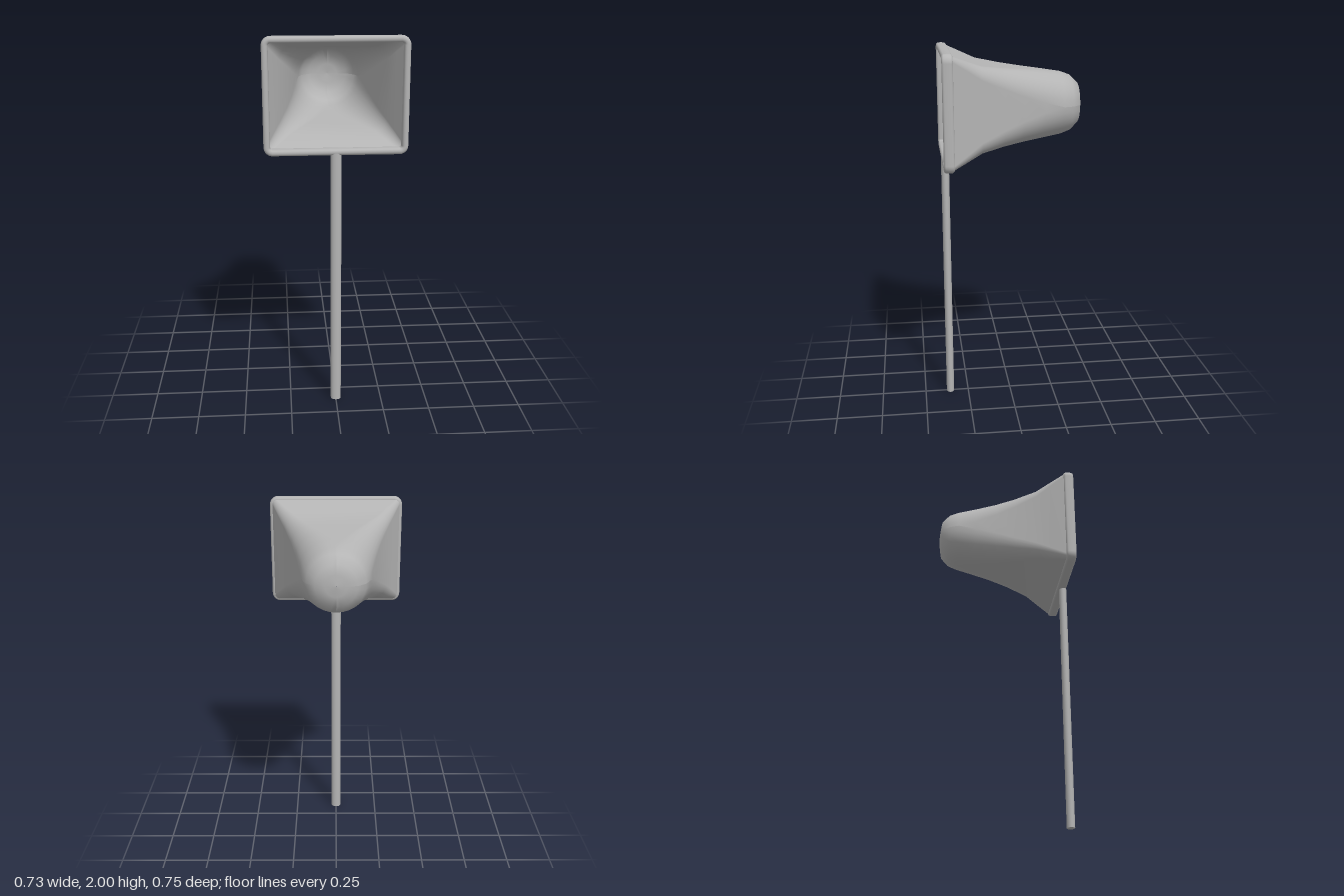
import * as THREE from 'three';

const CENTER_Y = 1.7;
const CORNER_STEPS = 8;

// Rounded rectangle outline at depth z, counter-clockwise seen from the front
function ring(halfX, halfY, radius, z) {
  const points = [];
  for (let corner = 0; corner < 4; corner++) {
    const sx = corner === 0 || corner === 3 ? 1 : -1;
    const sy = corner < 2 ? 1 : -1;
    for (let i = 0; i <= CORNER_STEPS; i++) {
      const a = (corner + i / CORNER_STEPS) * Math.PI / 2;
      points.push([
        sx * (halfX - radius) + radius * Math.cos(a),
        CENTER_Y + sy * (halfY - radius) + radius * Math.sin(a),
        z,
      ]);
    }
  }
  return points;
}

// Skin over a list of rings; wrap joins the last ring to the first
function loft(rings, wrap = false) {
  const n = rings[0].length;
  const index = [];
  const last = wrap ? rings.length : rings.length - 1;
  for (let i = 0; i < last; i++) {
    const k = (i + 1) % rings.length;
    for (let j = 0; j < n; j++) {
      const m = (j + 1) % n;
      const a = i * n + j, b = i * n + m, c = k * n + j, d = k * n + m;
      index.push(a, c, b, b, c, d);
    }
  }
  const geometry = new THREE.BufferGeometry();
  geometry.setAttribute('position', new THREE.Float32BufferAttribute(rings.flat(2), 3));
  geometry.setIndex(index);
  geometry.computeVertexNormals();
  return geometry;
}

export function createModel() {
  const group = new THREE.Group();
  const grey = new THREE.MeshStandardMaterial({ color: 0xb4b4b4, side: THREE.DoubleSide });
  grey.name = 'grey';

  const add = (name, geometry) => {
    const mesh = new THREE.Mesh(geometry, grey);
    mesh.name = name;
    group.add(mesh);
    return mesh;
  };

  // Open horn: rectangular mouth flowing into a round closed end
  const sections = [ // halfX, halfY, corner radius, z
    [0.353, 0.285, 0.025, 0.325],
    [0.315, 0.253, 0.045, 0.245],
    [0.278, 0.223, 0.065, 0.17],
    [0.237, 0.205, 0.1, 0.05],
    [0.21, 0.193, 0.13, -0.055],
    [0.187, 0.181, 0.155, -0.17],
    [0.17, 0.168, 0.168, -0.27],
    [0.15, 0.149, 0.149, -0.322],
    [0.107, 0.107, 0.107, -0.364],
    [0.055, 0.055, 0.055, -0.373],
    [0.001, 0.001, 0.001, -0.378],
  ];
  add('horn', loft(sections.map((s) => ring(...s))));

  // Rounded frame around the mouth
  const frame = [];
  for (let i = 0; i < 16; i++) {
    const a = (i / 16) * Math.PI * 2;
    const inset = 0.017 * (1 - Math.cos(a));
    // squared-off oval cross-section
    const z = 0.348 - 0.028 * Math.sign(Math.sin(a)) * Math.sqrt(Math.abs(Math.sin(a)));
    frame.push(ring(0.367 - inset, 0.298 - inset, 0.045 - inset, z));
  }
  add('mouthFrame', loft(frame, true));

  // Slim oval post under the frame
  const post = add('post', new THREE.CylinderGeometry(0.028, 0.028, 1.415, 20));
  post.scale.z = 0.78;
  post.position.set(0, 0.7075, 0.355);

  return group;
}
